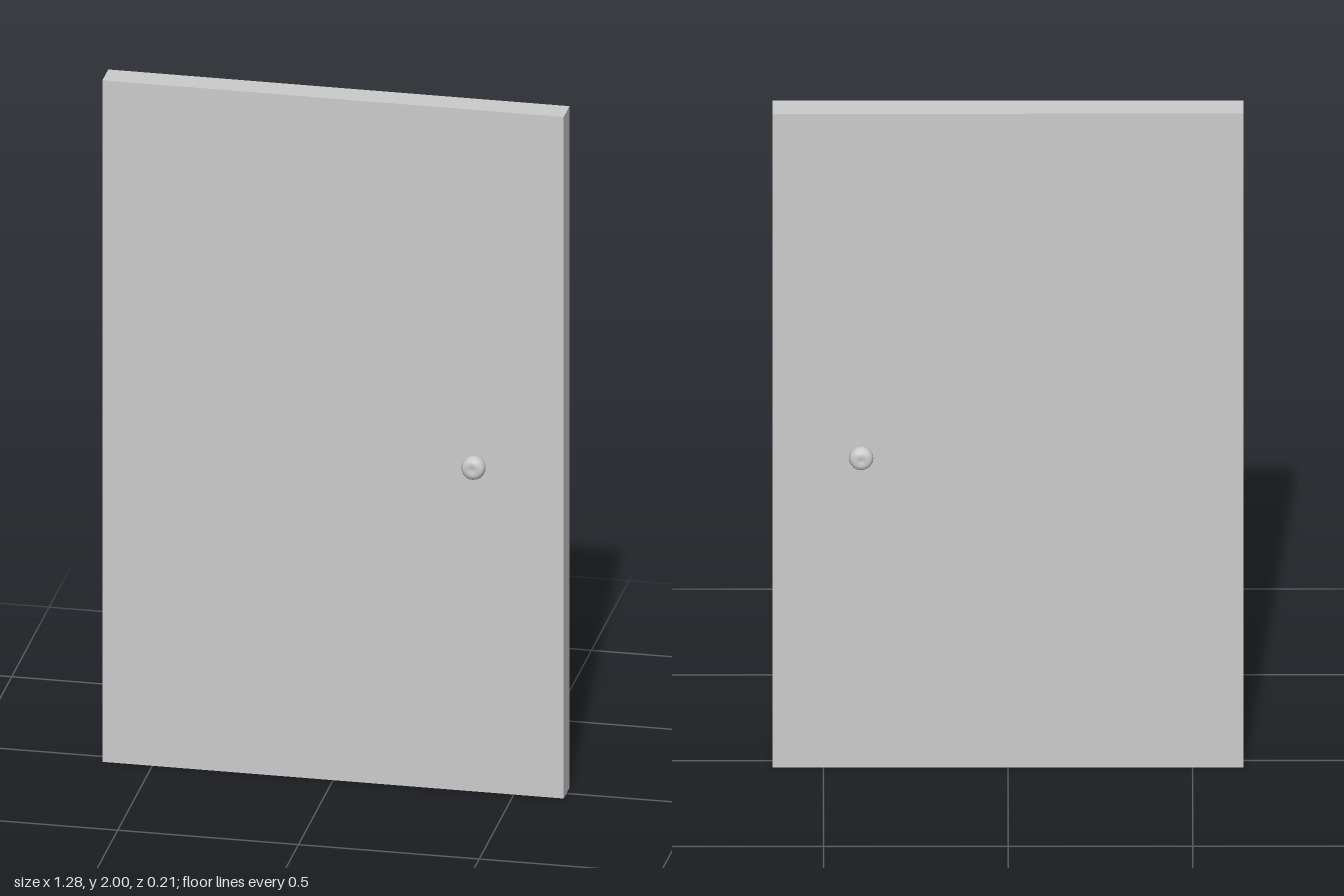
import * as THREE from 'three';

const material = new THREE.MeshStandardMaterial({ color: 0xcccccc });

// Turned knob with its stem; the lathe axis starts at the middle of the door
function knobGeometry() {
  const profile = [
    [0.011, 0], [0.011, 0.062], [0.016, 0.064], [0.026, 0.066], [0.031, 0.071],
    [0.033, 0.079], [0.033, 0.089], [0.030, 0.098], [0.024, 0.104],
    [0.015, 0.106], [0.007, 0.104], [0, 0.103],
  ].map(([r, h]) => new THREE.Vector2(r, h));
  return new THREE.LatheGeometry(profile, 24).rotateX(Math.PI / 2);
}

export function createModel() {
  const model = new THREE.Group();
  model.name = 'door';

  // Flat door slab
  const panel = new THREE.Mesh(new THREE.BoxGeometry(1.276, 2, 0.078), material);
  panel.name = 'doorPanel';
  panel.position.set(0, 1, -0.002);
  model.add(panel);

  // One knob on each face
  const geometry = knobGeometry();
  for (const [name, turn] of [['frontKnob', 0], ['backKnob', Math.PI]]) {
    const knob = new THREE.Mesh(geometry, material);
    knob.name = name;
    knob.position.set(0.398, 0.97, 0);
    knob.rotation.y = turn;
    model.add(knob);
  }
  return model;
}
